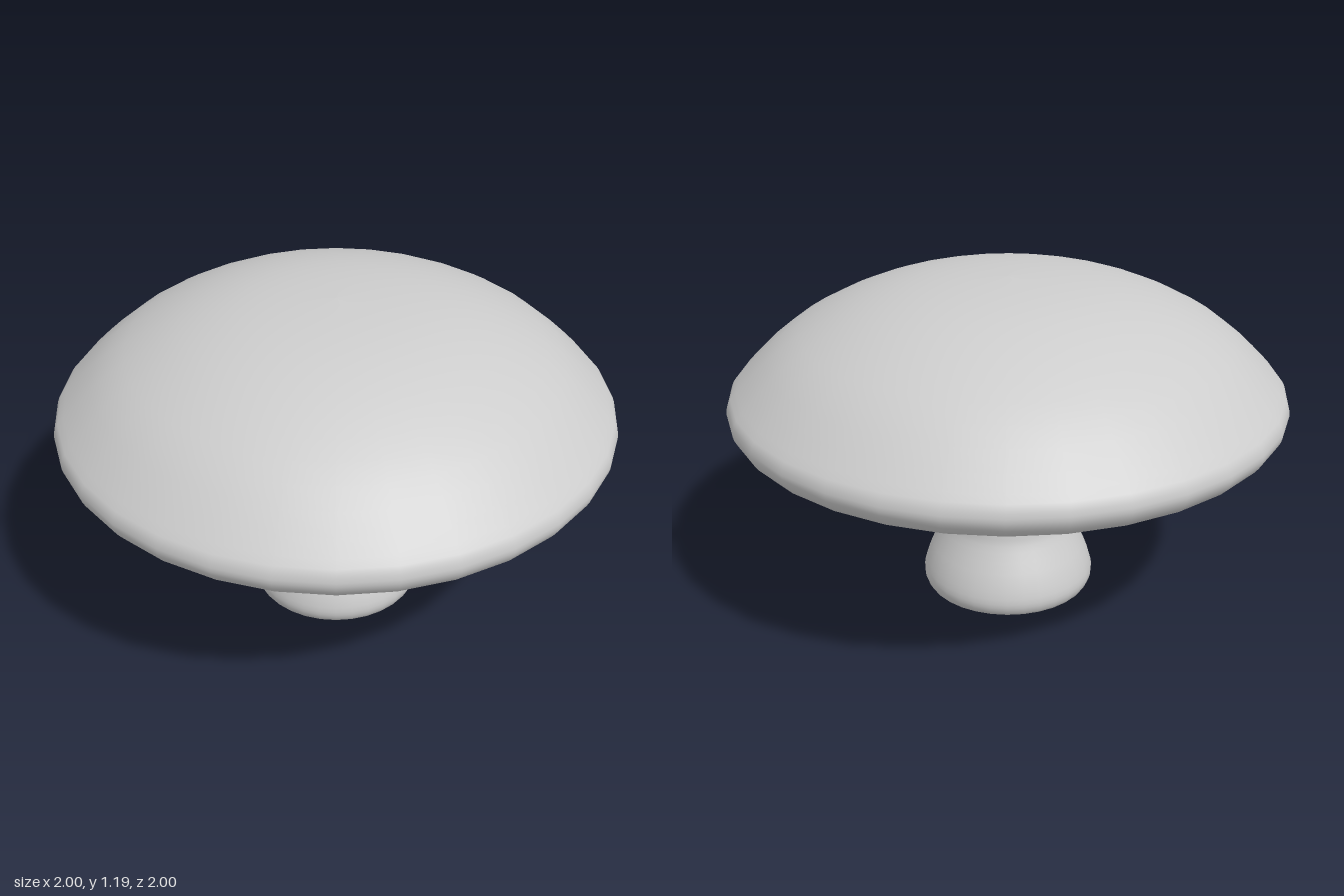
import * as THREE from 'three';

const SEGMENTS = 32;

// Turns [radius, height] pairs into profile points.
const toPoints = (pairs) => pairs.map(([r, y]) => new THREE.Vector2(r, y));

// Smooth curve through the given pairs.
const smooth = (pairs, n) => new THREE.SplineCurve(toPoints(pairs)).getPoints(n);

function turned(name, profile, material) {
  const mesh = new THREE.Mesh(new THREE.LatheGeometry(profile, SEGMENTS), material);
  mesh.name = name;
  return mesh;
}

export function createModel() {
  const group = new THREE.Group();
  group.name = 'mushroom';
  const grey = new THREE.MeshStandardMaterial({ color: 0xcccccc });
  grey.name = 'light grey';

  // Cap: flat recessed underside, rolled lip, domed top
  const capProfile = [
    ...toPoints([[0, 0.73], [0.72, 0.73]]),
    ...smooth([
      [0.75, 0.725], [0.81, 0.685], [0.86, 0.663], [0.91, 0.664], [0.96, 0.683],
      [0.995, 0.73], [0.995, 0.775], [0.96, 0.825], [0.8, 0.975], [0.6, 1.085],
      [0.4, 1.15], [0.2, 1.18], [0, 1.19],
    ], 36),
  ];
  capProfile[capProfile.length - 1].x = 0;
  group.add(turned('cap', capProfile, grey));

  // Stem: closed flat base, bulbous foot, slightly tapered shaft
  const stemProfile = [
    ...toPoints([[0, 0], [0.29, 0]]),
    ...smooth([
      [0.302, 0.003], [0.315, 0.03], [0.314, 0.07], [0.29, 0.14], [0.248, 0.225],
      [0.227, 0.29], [0.212, 0.48], [0.2, 0.66], [0.196, 0.735],
    ], 20),
  ];
  group.add(turned('stem', stemProfile, grey));

  return group;
}
